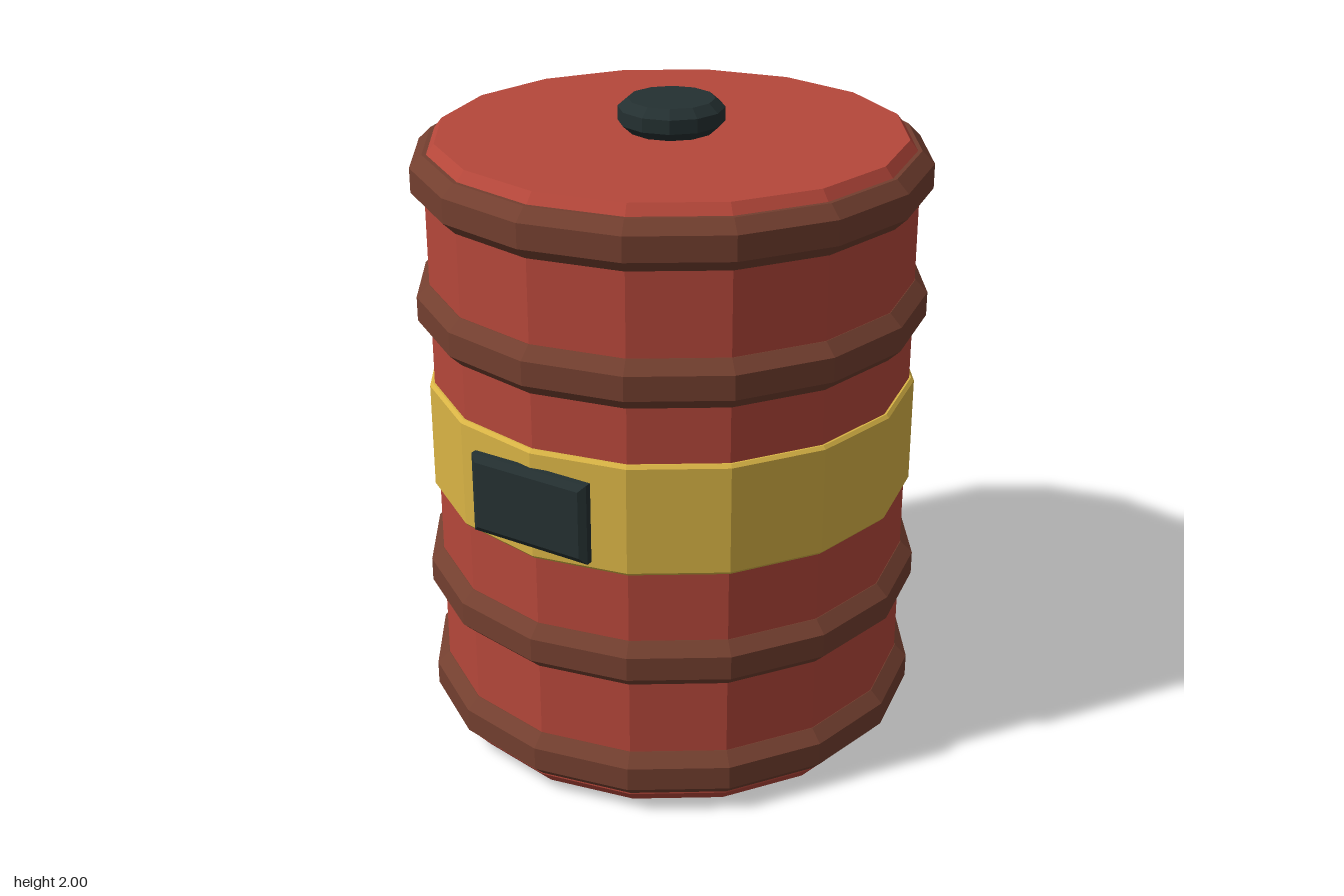
import * as THREE from 'three';

const flat = (name, color) => {
  const m = new THREE.MeshStandardMaterial({ color, flatShading: true });
  m.name = name;
  return m;
};

export function createModel() {
  const red = flat('red paint', 0xb5473a);
  const brown = flat('brown rib', 0x733f2f);
  const yellow = flat('yellow band', 0xd9b445);
  const dark = flat('dark fitting', 0x243031);

  const group = new THREE.Group();
  group.name = 'barrel';

  const add = (name, geometry, material) => {
    const mesh = new THREE.Mesh(geometry, material);
    mesh.name = name;
    group.add(mesh);
    return mesh;
  };
  // Faceted solid of revolution from [radius, y] pairs, bottom to top
  const turned = (points, sides) =>
    new THREE.LatheGeometry(points.map(([r, y]) => new THREE.Vector2(r, y)), sides);

  // Drum with chamfered rims
  add('drumBody', turned([
    [0, 0], [0.7, 0], [0.74, 0.045], [0.74, 1.86], [0.705, 1.905], [0, 1.905],
  ], 16), red);

  // Four raised hoops
  [0.125, 0.51, 1.4, 1.8].forEach((y, i) => {
    add('hoop' + (i + 1), turned([
      [0.72, y - 0.074], [0.742, y - 0.074], [0.78, y - 0.037],
      [0.78, y + 0.037], [0.742, y + 0.074], [0.72, y + 0.074],
    ], 16), brown);
  });

  // Wide painted band
  add('middleBand', turned([
    [0.72, 0.805], [0.746, 0.805], [0.755, 0.815],
    [0.755, 1.145], [0.746, 1.155], [0.72, 1.155],
  ], 16), yellow);

  // Cap on the lid
  add('lidCap', turned([
    [0, 1.9], [0.13, 1.905], [0.16, 1.932], [0.16, 1.974], [0.13, 2], [0, 2],
  ], 12), dark);

  // Bevelled label plate on the front
  const w = 0.18, h = 0.105;
  const outline = new THREE.Shape([
    new THREE.Vector2(-w, -h), new THREE.Vector2(w, -h),
    new THREE.Vector2(w, h), new THREE.Vector2(-w, h),
  ]);
  const plate = new THREE.ExtrudeGeometry(outline, {
    depth: 0.02, bevelEnabled: true, bevelThickness: 0.015, bevelSize: 0.02, bevelSegments: 1,
  });
  add('labelPlate', plate, dark).position.set(0, 0.975, 0.745);

  return group;
}
